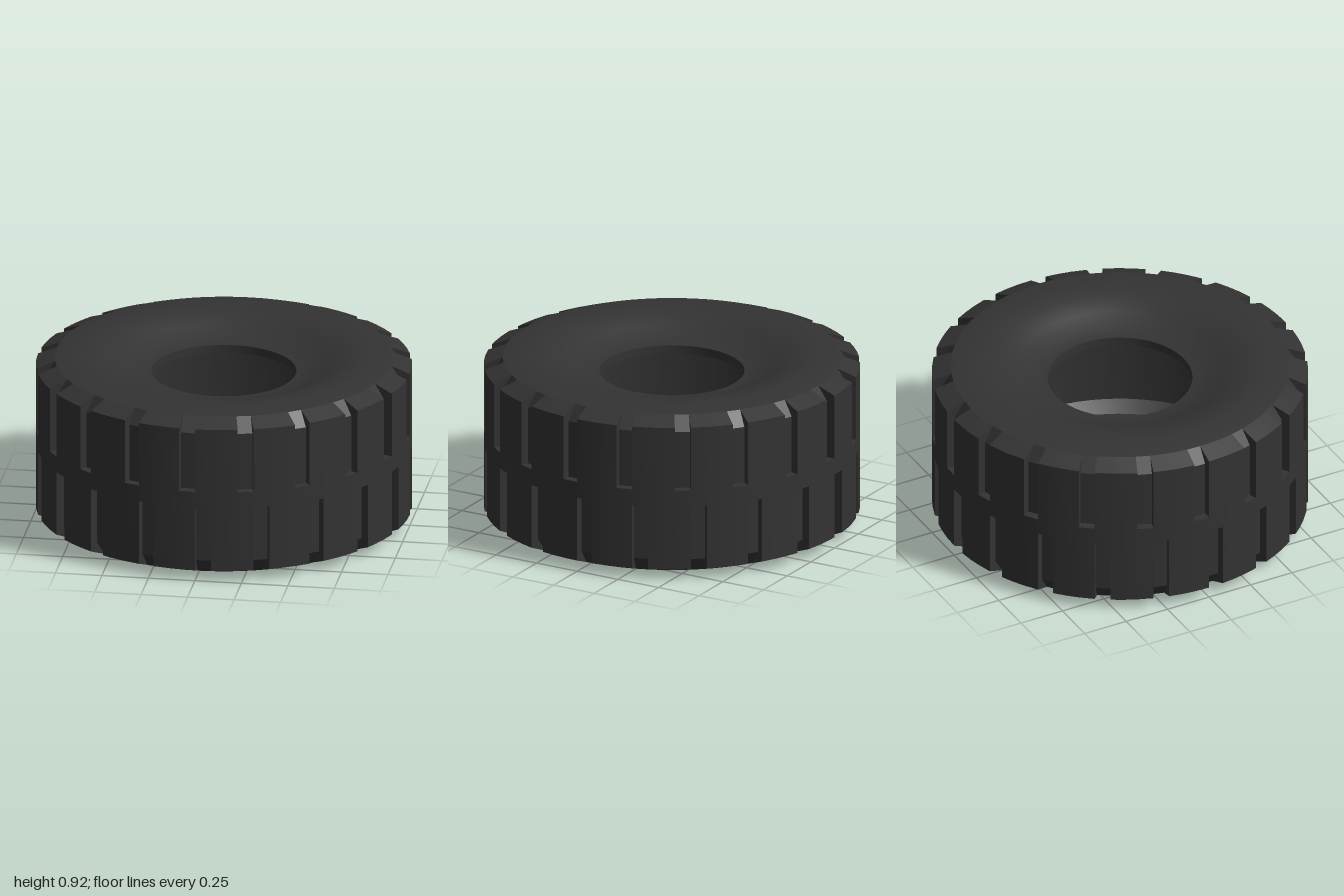
import * as THREE from 'three';
import { mergeGeometries, toCreasedNormals } from 'three/addons/utils/BufferGeometryUtils.js';

const H = 0.92;              // tyre width, standing along y
const PITCHES = 20;          // tread blocks per row
const STEP = (Math.PI * 2) / PITCHES;
const GROOVE = THREE.MathUtils.degToRad(4.9);

const material = new THREE.MeshStandardMaterial({ color: 0x333333, side: THREE.DoubleSide });
const vectors = (pts) => pts.map(([r, y]) => new THREE.Vector2(r, y));
const mirror = (pts) => pts.map(([r, y]) => [r, H - y]).reverse();

// Upper-half outlines of the tread, from the middle up to the shoulder
const plainHalf = [[1, 0.505], [1, 0.86], [0.9, 0.9]];
const groovedHalf = [[1, 0.505], [0.955, 0.505], [0.955, 0.82], [0.9, 0.9]];
// Cheek closing each side of a groove
const cheek = [[1, 0.505], [1, 0.86], [0.9, 0.9], [0.955, 0.82], [0.955, 0.505]];

// One pitch holds an upper groove, a lower groove and a plain block
const sectors = [
  { start: -GROOVE, length: GROOVE, segments: 1, upper: groovedHalf, lower: plainHalf },
  { start: 0, length: GROOVE, segments: 1, upper: plainHalf, lower: groovedHalf },
  { start: GROOVE, length: STEP - 2 * GROOVE, segments: 2, upper: plainHalf, lower: plainHalf },
];

function cheekAt(points, angle) {
  return new THREE.ShapeGeometry(new THREE.Shape(vectors(points))).rotateY(angle - Math.PI / 2);
}

function makeMesh(name, parts) {
  const mesh = new THREE.Mesh(toCreasedNormals(mergeGeometries(parts), 0.5), material);
  mesh.name = name;
  return mesh;
}

// Full ring whose angular divisions line up with the tread
function ring(name, profile) {
  const parts = [];
  for (let i = 0; i < PITCHES; i++) {
    for (const s of sectors) {
      parts.push(new THREE.LatheGeometry(vectors(profile), s.segments, i * STEP + s.start, s.length));
    }
  }
  return makeMesh(name, parts);
}

function tread() {
  const parts = [];
  for (let i = 0; i < PITCHES; i++) {
    const a = i * STEP;
    for (const s of sectors) {
      const profile = [...mirror(s.lower), ...s.upper];
      parts.push(new THREE.LatheGeometry(vectors(profile), s.segments, a + s.start, s.length));
    }
    parts.push(cheekAt(cheek, a - GROOVE), cheekAt(cheek, a));
    parts.push(cheekAt(mirror(cheek), a), cheekAt(mirror(cheek), a + GROOVE));
  }
  return makeMesh('tread', parts);
}

export function createModel() {
  const group = new THREE.Group();
  group.name = 'tyre';

  // Dished sidewall ending in the bead lip around the hole
  const sidewall = [[0.9, 0.9], [0.77, 0.92], [0.67, 0.908], [0.56, 0.875],
    [0.46, 0.825], [0.385, 0.82], [0.385, 0.775]];
  // Hollow inside of the tyre
  const cavityHalf = [[0.385, 0.775], [0.48, 0.775], [0.6, 0.83], [0.78, 0.84], [0.85, 0.79]];

  group.add(
    tread(),
    ring('upperSidewall', sidewall),
    ring('lowerSidewall', mirror(sidewall)),
    ring('innerCavity', [...cavityHalf, ...mirror(cavityHalf)]),
  );
  return group;
}
